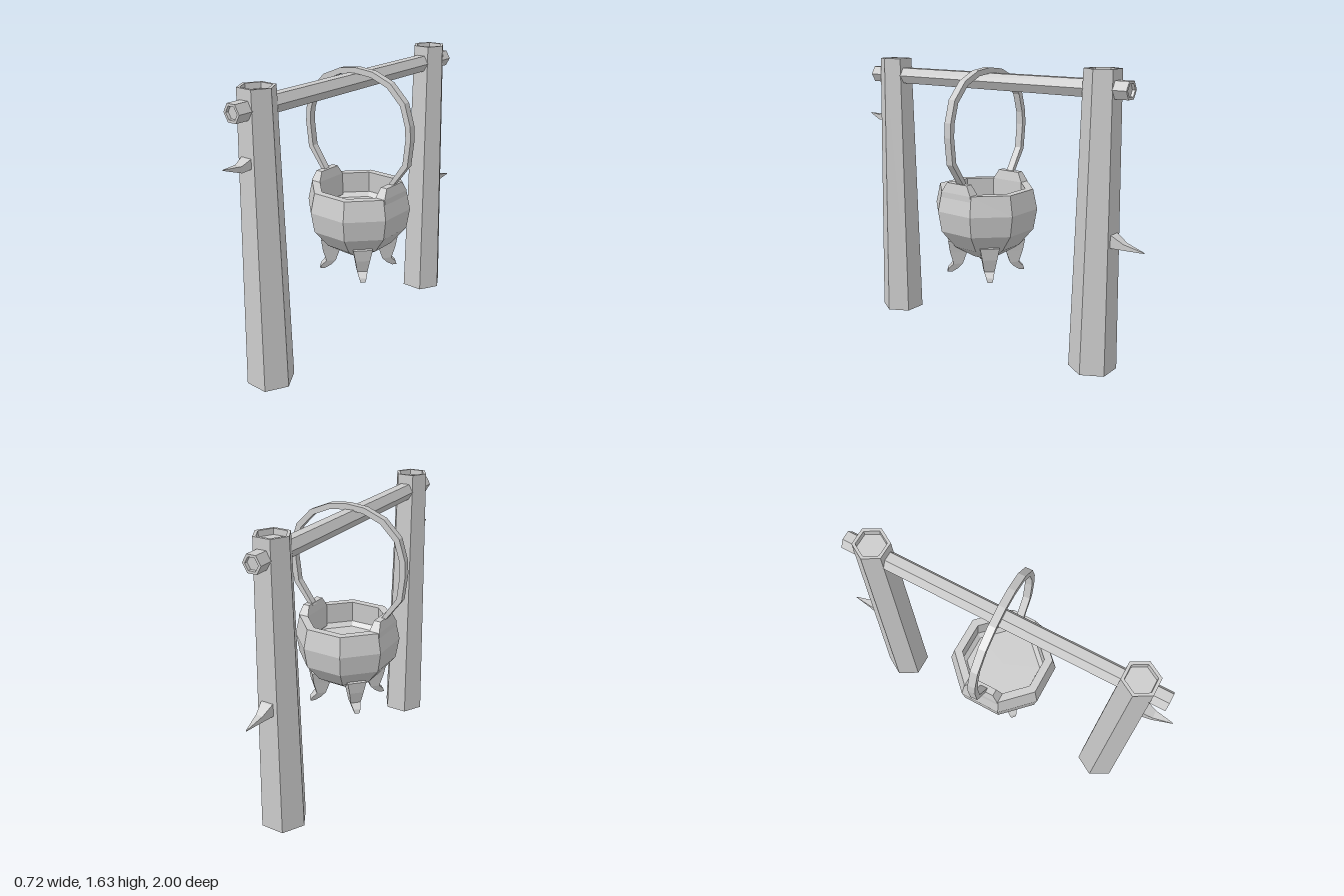
import * as THREE from 'three';

const mat = new THREE.MeshStandardMaterial({ color: 0xcccccc, flatShading: true, side: THREE.DoubleSide });

function add(parent, name, geometry, x = 0, y = 0, z = 0) {
  const mesh = new THREE.Mesh(geometry, mat);
  mesh.name = name;
  mesh.position.set(x, y, z);
  parent.add(mesh);
  return mesh;
}

// Faceted turned solid from [radius, height] pairs
function turned(profile, sides, start) {
  return new THREE.LatheGeometry(profile.map(([r, y]) => new THREE.Vector2(r, y)), sides, start);
}

// Rectangular sections [x, y, halfX, halfY, z] joined along +z, capped at both ends
function loft(sections) {
  const rings = sections.map(([x, y, a, b, z]) =>
    [[1, 1], [-1, 1], [-1, -1], [1, -1]].map(([i, j]) => [x + i * a, y + j * b, z]));
  const pos = [];
  const quad = (a, b, c, d) => pos.push(...a, ...b, ...c, ...a, ...c, ...d);
  for (let k = 0; k < rings.length - 1; k++) {
    const a = rings[k], b = rings[k + 1];
    for (let i = 0; i < 4; i++) {
      const j = (i + 1) % 4;
      quad(a[i], a[j], b[j], b[i]);
    }
  }
  const first = rings[0], last = rings[rings.length - 1];
  quad(first[3], first[2], first[1], first[0]);
  quad(last[0], last[1], last[2], last[3]);
  const g = new THREE.BufferGeometry();
  g.setAttribute('position', new THREE.Float32BufferAttribute(pos, 3));
  g.computeVertexNormals();
  return g;
}

export function createModel() {
  const model = new THREE.Group();
  model.name = 'hangingCauldron';
  const cx = -0.02;

  // Tapered hexagonal posts with hollowed tops
  const post = turned([[0, 0], [0.132, 0], [0.098, 1.63], [0.08, 1.63], [0.078, 1.6], [0, 1.6]], 6, Math.PI / 2);
  add(model, 'frontPost', post, cx, 0, 0.757);
  add(model, 'backPost', post, cx, 0, -0.72);

  // Crossbar with hollowed ends
  const bar = turned([[0, -0.89], [0.036, -0.89], [0.038, -0.905], [0.053, -0.905],
    [0.053, 0.905], [0.038, 0.905], [0.036, 0.89], [0, 0.89]], 6, Math.PI / 2);
  bar.rotateX(Math.PI / 2);
  add(model, 'crossbar', bar, cx, 1.528, 0.02);

  // Broken twigs on the posts
  add(model, 'frontTwig', loft([
    [0, 1.272, 0.038, 0.03, 0.81], [0, 1.27, 0.034, 0.026, 0.845],
    [0, 1.252, 0.022, 0.017, 0.9], [0, 1.272, 0.002, 0.002, 1]]), cx);
  const backTwig = loft([
    [0, 0.752, 0.038, 0.038, 0.79], [0, 0.746, 0.034, 0.033, 0.83],
    [0, 0.727, 0.02, 0.016, 0.89], [0, 0.713, 0.002, 0.002, 1]]);
  backTwig.rotateY(Math.PI);
  add(model, 'backTwig', backTwig, cx);

  // Octagonal cauldron, outside then inside
  const cauldron = new THREE.Group();
  cauldron.name = 'cauldron';
  cauldron.position.set(0.007, 0, 0.016);
  model.add(cauldron);
  add(cauldron, 'pot', turned([[0, 0.51], [0.08, 0.51], [0.2, 0.585], [0.287, 0.69], [0.307, 0.81],
    [0.282, 0.925], [0.235, 0.925], [0.24, 0.8], [0.215, 0.775], [0, 0.775]], 8, Math.PI / 8));

  // Ears on the rim
  for (const side of [-1, 1]) {
    const ear = loft([
      [side * 0.235, 0, 0.035, 0.1, 0.79],
      [side * 0.235, 0, 0.031, 0.105, 0.925],
      [side * 0.235, 0, 0.02, 0.072, 0.98]]);
    ear.rotateX(-Math.PI / 2);
    add(cauldron, side > 0 ? 'leftEar' : 'rightEar', ear);
  }

  // Four clawed legs on the diagonals
  for (let i = 0; i < 4; i++) {
    const leg = loft([
      [0.16, 0, 0.065, 0.055, -0.61], [0.165, 0, 0.05, 0.042, -0.54],
      [0.167, 0, 0.027, 0.03, -0.465], [0.195, 0, 0.028, 0.021, -0.435],
      [0.216, 0, 0.014, 0.014, -0.412]]);
    leg.rotateX(Math.PI / 2);
    add(cauldron, 'leg', leg).rotation.y = Math.PI / 4 + i * Math.PI / 2;
  }

  // Hoop handle: flat band following a faceted arc
  const arc = [[0.24, 0.96], [0.343, 1.1], [0.36, 1.25], [0.355, 1.33], [0.318, 1.45],
    [0.225, 1.545], [0.11, 1.593], [0, 1.605]];
  const outer = [...arc, ...arc.slice(0, -1).reverse().map(([x, y]) => [-x, y])];
  const inner = outer.map(([x, y]) => [x * 0.91, y > 1.2 ? 1.25 + (y - 1.25) * 0.91 : y + 0.01]).reverse();
  const band = new THREE.Shape([...outer, ...inner].map(([x, y]) => new THREE.Vector2(x, y)));
  const handle = new THREE.ExtrudeGeometry(band, { depth: 0.042, bevelEnabled: false });
  handle.translate(0, 0, -0.021);
  add(model, 'handle', handle, 0, 0, 0.01).rotation.y = 0.045;

  return model;
}
